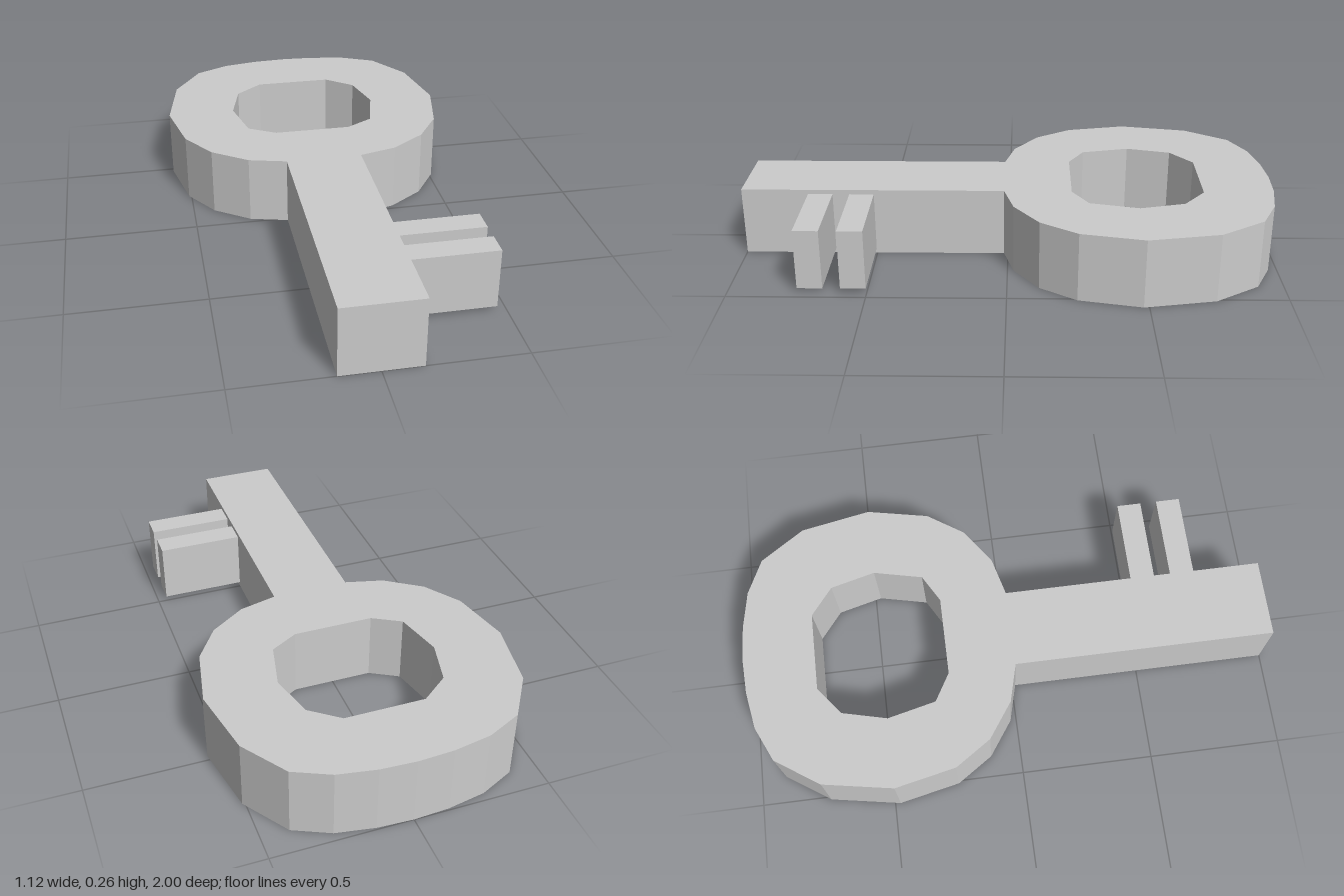
import * as THREE from 'three';

export function createModel() {
  const group = new THREE.Group();
  const material = new THREE.MeshStandardMaterial({ color: 0xcccccc, flatShading: true });
  const height = 0.26;

  // Closed outline from its right half, given as [x, z] from back to front
  const mirrored = (half) => {
    const left = half.filter(([x]) => x > 0).map(([x, z]) => [-x, z]).reverse();
    return [...half, ...left].map(([x, z]) => new THREE.Vector2(x, -z));
  };

  // Bow ring and shaft as one slab with a faceted hole (wound the opposite way)
  const outline = new THREE.Shape(mirrored([
    [0, -1], [0.13, -0.993], [0.27, -0.968], [0.4, -0.907], [0.51, -0.742],
    [0.558, -0.48], [0.51, -0.25], [0.42, -0.115], [0.287, -0.022], [0.145, 0.015],
    [0.145, 1],
  ]));
  outline.holes.push(new THREE.Path(mirrored([
    [0.148, -0.73], [0.252, -0.648], [0.294, -0.48], [0.252, -0.298], [0.148, -0.238],
  ]).reverse()));
  const slab = new THREE.ExtrudeGeometry(outline, { depth: height, bevelEnabled: false });
  slab.rotateX(-Math.PI / 2);
  const body = new THREE.Mesh(slab, material);
  body.name = 'bowAndShaft';
  group.add(body);

  // Two slim teeth on the left side of the shaft
  [0.549, 0.704].forEach((z, i) => {
    const tooth = new THREE.Mesh(new THREE.BoxGeometry(0.335, 0.226, 0.092), material);
    tooth.position.set(0.2985, 0.13, z);
    tooth.name = `tooth${i + 1}`;
    group.add(tooth);
  });

  return group;
}
